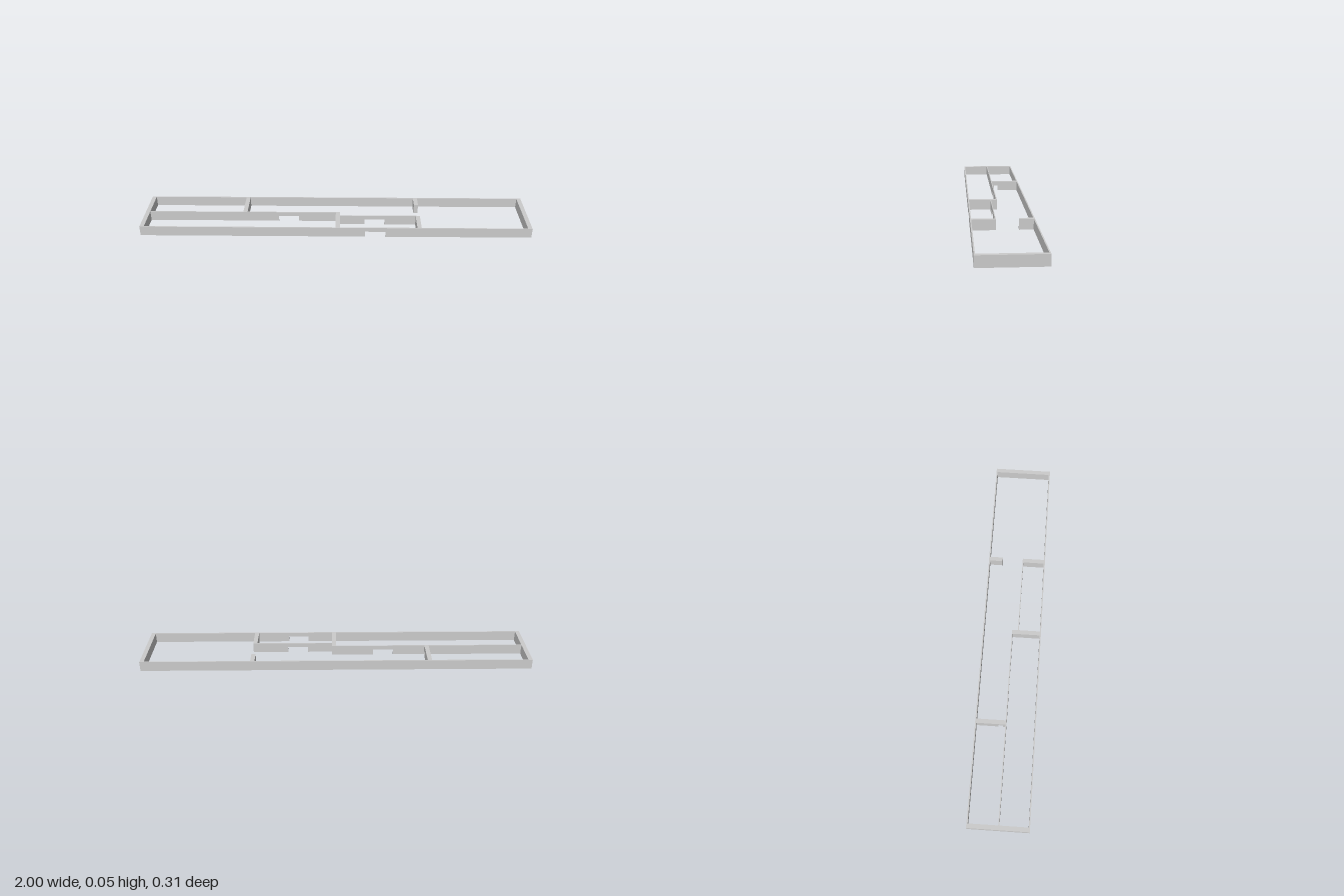
import * as THREE from 'three';

const H = 0.052;      // wall height
const DOOR_H = 0.03;  // doorway height
const W = 0.1525;     // half depth of the plan
const T = 0.022;      // thickness of the cross walls

// Upright wall outline from a to b, with an optional doorway [d0, d1] cut from the floor
function wallShape(a, b, door) {
  const pts = [[a, 0]];
  if (door) pts.push([door[0], 0], [door[0], DOOR_H], [door[1], DOOR_H], [door[1], 0]);
  pts.push([b, 0], [b, H], [a, H]);
  return new THREE.Shape(pts.map(([u, v]) => new THREE.Vector2(u, v)));
}

function extrude(shape, depth) {
  return new THREE.ExtrudeGeometry(shape, { depth, bevelEnabled: false });
}

export function createModel() {
  const model = new THREE.Group();
  model.name = 'floorPlanWalls';
  const grey = new THREE.MeshStandardMaterial({ color: 0xcccccc });
  grey.name = 'wallGrey';

  const add = (name, geometry) => {
    const mesh = new THREE.Mesh(geometry, grey);
    mesh.name = name;
    model.add(mesh);
  };
  // Wall running along x, its back face at z
  const longWall = (name, x0, x1, z, thickness, door) =>
    add(name, extrude(wallShape(x0, x1, door), thickness).translate(0, 0, z));
  // Wall running along z, its right face at x
  const crossWall = (name, x, z0, z1, door) => {
    const flipped = door && [-door[1], -door[0]];
    add(name, extrude(wallShape(-z1, -z0, flipped), T).rotateY(Math.PI / 2).translate(x, 0, 0));
  };

  // Outer walls
  longWall('frontWall', -1 + T, 1 - T, W - 0.006, 0.006, [0.15, 0.255]);
  longWall('backWall', -1 + T, 1 - T, -W, 0.006);
  crossWall('rightEndWall', -1, -W, W);
  crossWall('leftEndWall', 1 - T, -W, W);

  // Inner partitions with doorways
  longWall('middlePartition', -1 + T, 0, 0, 0.005, [-0.30, -0.195]);
  longWall('hallPartition', T, 0.417, 0.031, 0.004, [0.15, 0.255]);

  // Inner cross walls
  crossWall('backRoomWall', -0.487, -W + 0.006, 0, [-0.035, -0.012]);
  crossWall('middleCrossWall', 0, 0, W - 0.006);
  crossWall('frontRoomWall', 0.417, 0.031, W - 0.006);
  crossWall('backStubWall', 0.417, -W + 0.006, -0.078);

  return model;
}
